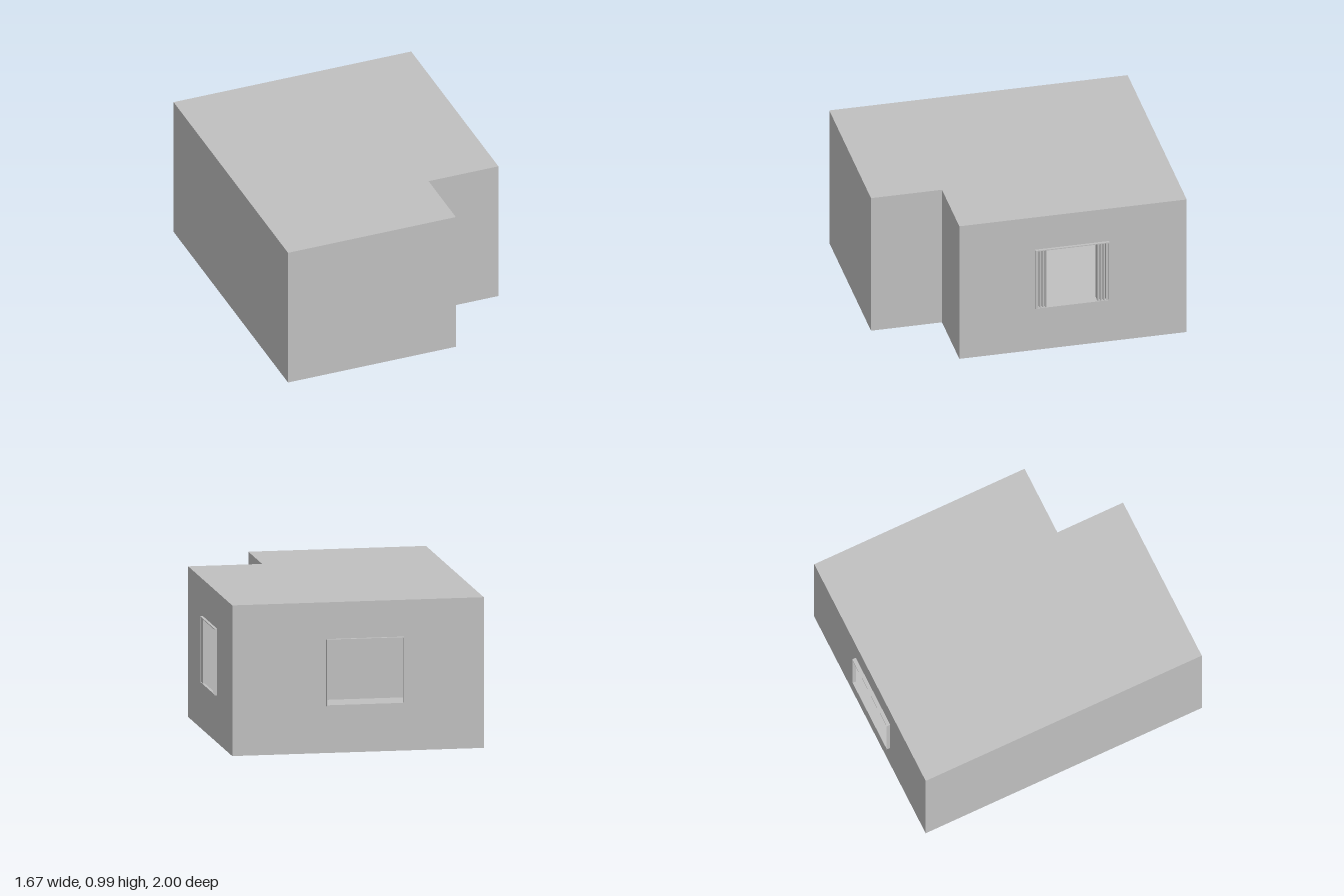
import * as THREE from 'three';

export function createModel() {
  const room = new THREE.Group();
  room.name = 'room';
  const grey = new THREE.MeshStandardMaterial({ color: 0xc0c0c0, side: THREE.DoubleSide });
  grey.name = 'plain grey';

  const H = 0.985;
  const sillY = 0.31, headY = 0.745;
  // Floor plan corners (x, z), anticlockwise seen from above
  const plan = [[-0.835, 1], [0.33, 1], [0.33, 0.53], [0.815, 0.53], [0.815, -0.975], [-0.835, -0.975]];
  // Window openings, measured along their wall from its first corner
  const windows = {
    4: null,
    3: { name: 'rightWindow', from: 0.5, to: 0.99, out: 0.018 },
  };
  windows[4] = { name: 'backWindow', from: 0.615, to: 1.125, out: 0.025 };

  const add = (parent, name, geometry) => {
    const mesh = new THREE.Mesh(geometry, grey);
    mesh.name = name;
    parent.add(mesh);
    return mesh;
  };
  // Box given by its limits
  const block = (parent, name, x0, x1, y0, y1, z0, z1) =>
    add(parent, name, new THREE.BoxGeometry(x1 - x0, y1 - y0, z1 - z0))
      .position.set((x0 + x1) / 2, (y0 + y1) / 2, (z0 + z1) / 2);
  const rect = (Type, x0, x1, y0, y1) => {
    const r = new Type();
    r.moveTo(x0, y0);
    r.lineTo(x1, y0);
    r.lineTo(x1, y1);
    r.lineTo(x0, y1);
    r.closePath();
    return r;
  };

  // Thin walls, one per side of the plan; local z points outward
  plan.forEach(([x, z], i) => {
    const [x2, z2] = plan[(i + 1) % plan.length];
    const length = Math.hypot(x2 - x, z2 - z);
    const side = new THREE.Group();
    side.name = 'wallSide' + (i + 1);
    side.position.set(x, 0, z);
    side.rotation.y = Math.atan2(z - z2, x2 - x);
    room.add(side);

    const shape = rect(THREE.Shape, 0, length, 0, H);
    const w = windows[i];
    if (w) shape.holes.push(rect(THREE.Path, w.from, w.to, sillY, headY));
    add(side, 'wall', new THREE.ShapeGeometry(shape));
    if (!w) return;

    // Shallow window frame standing out from the wall
    const frame = new THREE.Group();
    frame.name = w.name + 'Frame';
    side.add(frame);
    const t = 0.006;
    block(frame, 'sill', w.from, w.to, sillY, sillY + t, 0, w.out);
    block(frame, 'head', w.from, w.to, headY - t, headY, 0, w.out);
    block(frame, 'jamb', w.from, w.from + t, sillY, headY, 0, w.out);
    block(frame, 'jamb', w.to - t, w.to, sillY, headY, 0, w.out);
  });

  // Folded shutter leaves stacked at both ends of the right window
  const shutters = new THREE.Group();
  shutters.name = 'foldedShutters';
  room.add(shutters);
  for (let k = 0; k < 4; k++) {
    const d = 0.009 + k * 0.019;
    block(shutters, 'frontShutterLeaf', 0.775, 0.829, sillY + 0.006, headY - 0.006, 0.03 - d - 0.012, 0.03 - d);
    block(shutters, 'backShutterLeaf', 0.775, 0.829, sillY + 0.006, headY - 0.006, -0.46 + d, -0.46 + d + 0.012);
  }

  // Floor and flat roof
  const slab = new THREE.ShapeGeometry(new THREE.Shape(plan.map(([x, z]) => new THREE.Vector2(x, -z))));
  slab.rotateX(-Math.PI / 2);
  add(room, 'floor', slab);
  add(room, 'roof', slab).position.y = H;

  return room;
}
